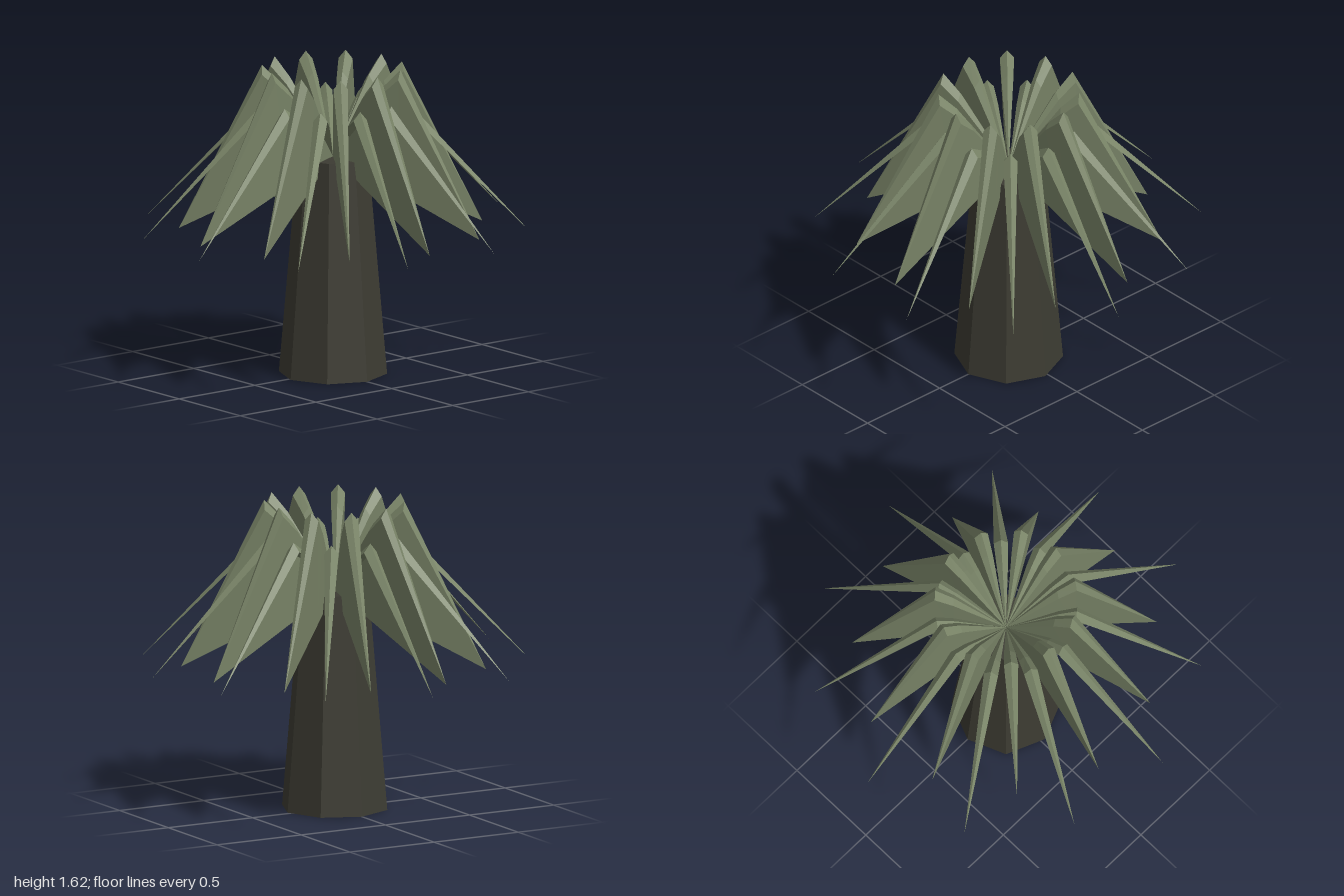
import * as THREE from 'three';

const TRUNK_TOP = 1.14;
const TIP_Y = 0.755;
const leafMaterial = new THREE.MeshStandardMaterial({ color: 0x7a8568, flatShading: true, side: THREE.DoubleSide });
const trunkMaterial = new THREE.MeshStandardMaterial({ color: 0x3c3b32, flatShading: true });

// Ridged frond pointing along +x; a deep one has a keel running straight from trunk top to tip
function frondGeometry(tipRadius, ridgeTop, deep) {
  // Cross-section: ridge, right shoulder, keel, left shoulder
  const section = (r, ridge, half, drop) => {
    const shoulder = ridge - drop;
    const keel = deep ? TRUNK_TOP + (TIP_Y - TRUNK_TOP) * r / tipRadius : shoulder;
    return [[r, ridge, 0], [r, shoulder, half], [r, keel, 0], [r, shoulder, -half]];
  };
  const rings = [
    section(0, TRUNK_TOP, 0, 0),
    section(0.27, TRUNK_TOP + (ridgeTop - TRUNK_TOP) * 0.8, 0.03, 0.035),
    section(0.365, ridgeTop, 0.037, 0.045),
    section(tipRadius, TIP_Y, 0, 0),
  ];
  const last = rings.length - 2;
  const positions = [];
  for (let i = 0; i <= last; i++) {
    const a = rings[i], b = rings[i + 1];
    for (let j = 0; j < 4; j++) {
      const k = (j + 1) % 4;
      // Both ends are points, so they need only one triangle per side
      if (i > 0) positions.push(...a[j], ...a[k], ...b[k]);
      if (i < last) positions.push(...a[j], ...b[k], ...b[j]);
    }
  }
  const geometry = new THREE.BufferGeometry();
  geometry.setAttribute('position', new THREE.Float32BufferAttribute(positions, 3));
  geometry.computeVertexNormals();
  return geometry;
}

// Evenly spaced ring of fronds
function frondRing(name, geometry, count, startAngle) {
  const ring = new THREE.Group();
  ring.name = name;
  for (let i = 0; i < count; i++) {
    const frond = new THREE.Mesh(geometry, leafMaterial);
    frond.name = 'frond';
    frond.rotation.y = startAngle + (i / count) * Math.PI * 2;
    ring.add(frond);
  }
  return ring;
}

export function createModel() {
  const model = new THREE.Group();
  model.name = 'palmTree';

  // Tapered eight-sided trunk
  const trunk = new THREE.Mesh(new THREE.CylinderGeometry(0.183, 0.28, TRUNK_TOP, 8), trunkMaterial);
  trunk.name = 'trunk';
  trunk.position.y = TRUNK_TOP / 2;
  model.add(trunk);

  // High, deep fronds between long, thin, spreading ones
  model.add(frondRing('upperFronds', frondGeometry(0.793, 1.62, true), 11, 0));
  model.add(frondRing('lowerFronds', frondGeometry(1.01, 1.45, false), 11, Math.PI));

  // Odd frond count makes the crown lopsided, so shift to centre it
  model.children.forEach((part) => { part.position.x = 0.02; });
  return model;
}
